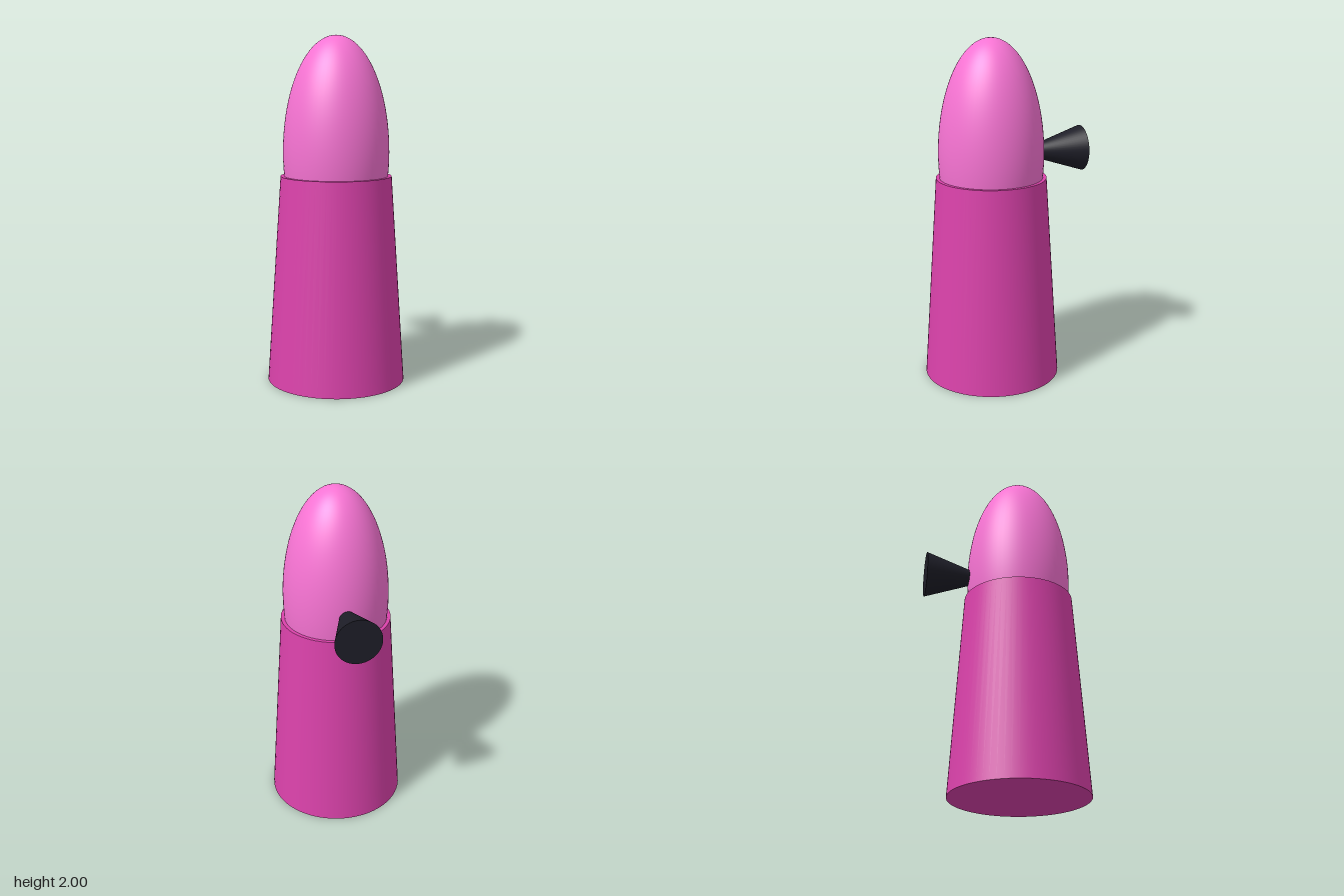
import * as THREE from 'three';

export function createModel() {
  const model = new THREE.Group();
  const axisZ = 0.08; // the body stands forward to balance the rear knob

  function addPart(name, geometry, color, y, z) {
    const mesh = new THREE.Mesh(geometry, new THREE.MeshStandardMaterial({ color }));
    mesh.name = name;
    mesh.position.set(0, y, z);
    model.add(mesh);
    return mesh;
  }

  // Tapered base with closed ends
  addPart('body', new THREE.CylinderGeometry(0.32, 0.4, 1.2, 64), 0xdb42ab, 0.6, axisZ);

  // Tall egg-shaped top, its lower part sunk into the body
  const dome = new THREE.SphereGeometry(1, 64, 48).scale(0.305, 0.667, 0.305);
  addPart('dome', dome, 0xf874d4, 1.333, axisZ);

  // Flared knob on the back, wide end outwards
  const knob = new THREE.CylinderGeometry(0.133, 0.046, 0.267, 48).rotateX(-Math.PI / 2);
  addPart('rearKnob', knob, 0x1e1e28, 1.333, -0.3465);

  return model;
}
